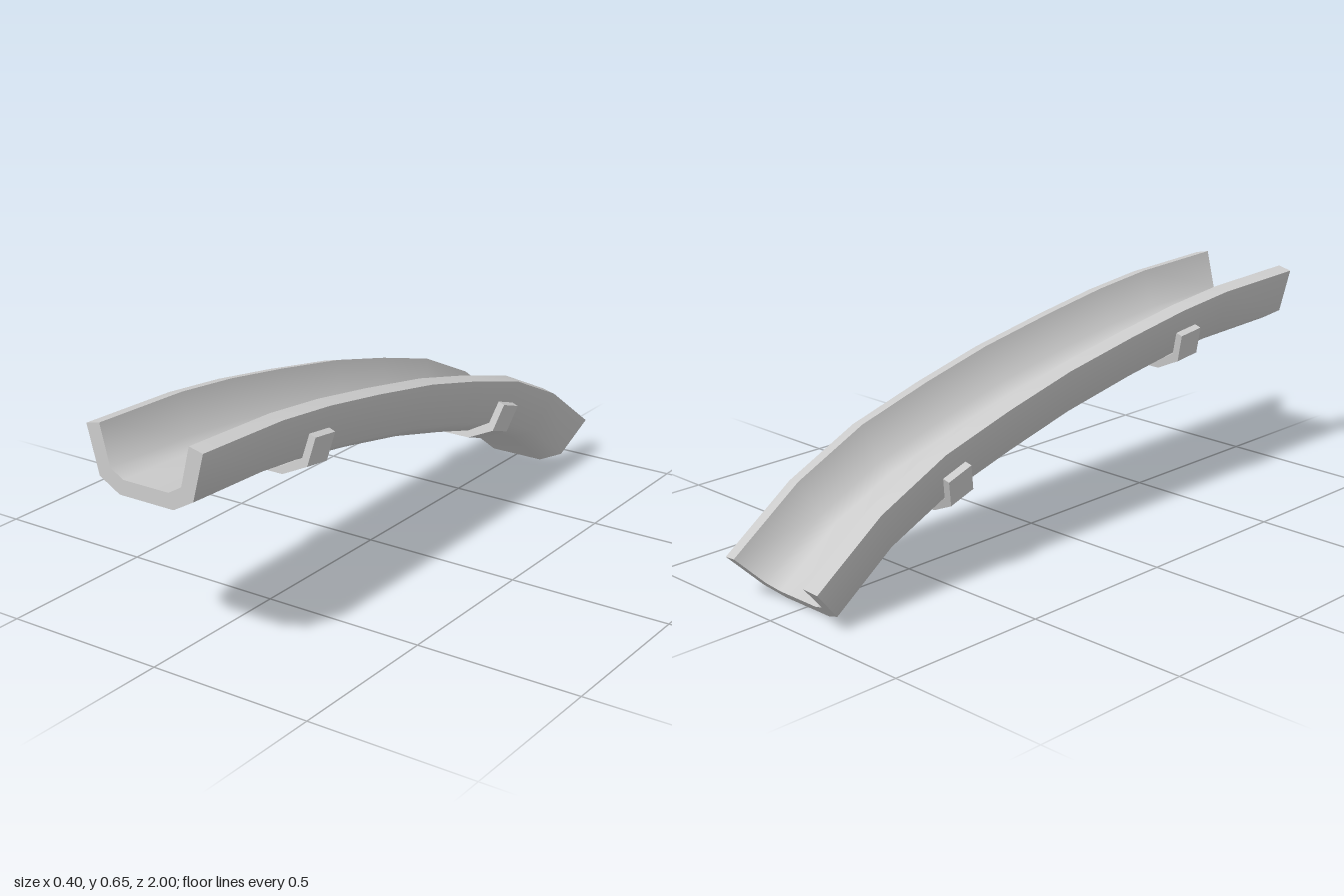
import * as THREE from 'three';
import { toCreasedNormals } from 'three/addons/utils/BufferGeometryUtils.js';

const material = new THREE.MeshStandardMaterial({ color: 0xcccccc });

// Right half of a U section, outer floor to rim to inner floor, mirrored to a closed loop
function mirrorSection(outer, inner) {
  const half = [...outer, ...inner];
  const left = half.map(([x, y]) => [-x, y]).reverse();
  return [...half, ...left].map(([x, y]) => new THREE.Vector2(x, y));
}

// Channel swept through stations: [floor z, floor y, rim z, rim y], front to back
function channelGeometry(section, stations, height) {
  const positions = [], index = [], n = section.length;
  for (const [z0, y0, z1, y1] of stations) {
    for (const p of section) {
      const t = p.y / height;
      positions.push(p.x, y0 + (y1 - y0) * t, z0 + (z1 - z0) * t);
    }
  }
  for (let i = 0; i < stations.length - 1; i++) {
    for (let j = 0; j < n; j++) {
      const k = (j + 1) % n;
      const a = i * n + j, b = i * n + k, c = b + n, d = a + n;
      index.push(a, d, b, b, d, c);
    }
  }
  // End caps
  const last = (stations.length - 1) * n;
  for (const [a, b, c] of THREE.ShapeUtils.triangulateShape(section, [])) {
    index.push(a, b, c, last + a, last + c, last + b);
  }
  const geometry = new THREE.BufferGeometry();
  geometry.setAttribute('position', new THREE.Float32BufferAttribute(positions, 3));
  geometry.setIndex(index);
  return toCreasedNormals(geometry, THREE.MathUtils.degToRad(52));
}

export function createModel() {
  const group = new THREE.Group();

  // Curved open trough
  const troughSection = mirrorSection(
    [[0.09, 0], [0.156, 0.037], [0.193, 0.175]],
    [[0.148, 0.185], [0.118, 0.068], [0.075, 0.044]]
  );
  const stations = [
    [1, 0.47, 1, 0.655],
    [0.69, 0.46, 0.675, 0.644],
    [0.49, 0.441, 0.465, 0.622],
    [0.265, 0.407, 0.233, 0.586],
    [0, 0.357, -0.04, 0.537],
    [-0.235, 0.297, -0.285, 0.477],
    [-0.475, 0.23, -0.533, 0.406],
    [-0.683, 0.137, -0.77, 0.296],
    [-0.872, 0, -1, 0.134]
  ];
  const trough = new THREE.Mesh(channelGeometry(troughSection, stations, 0.185), material);
  trough.name = 'trough';
  group.add(trough);

  // Support straps hugging the underside
  const strapSection = mirrorSection(
    [[0.095, 0], [0.176, 0.038], [0.198, 0.124]],
    [[0.177, 0.131], [0.158, 0.06], [0.09, 0.022]]
  );
  const depth = 0.09;
  const strapGeometry = new THREE.ExtrudeGeometry(new THREE.Shape(strapSection), { depth, bevelEnabled: false });
  strapGeometry.translate(0, 0, -depth / 2);
  for (const [name, y, z, tilt] of [['frontStrap', 0.417, 0.512, 6.5], ['rearStrap', 0.214, -0.443, 18.5]]) {
    const strap = new THREE.Mesh(strapGeometry, material);
    strap.name = name;
    strap.position.set(0, y, z);
    strap.rotation.x = -THREE.MathUtils.degToRad(tilt);
    group.add(strap);
  }
  return group;
}
